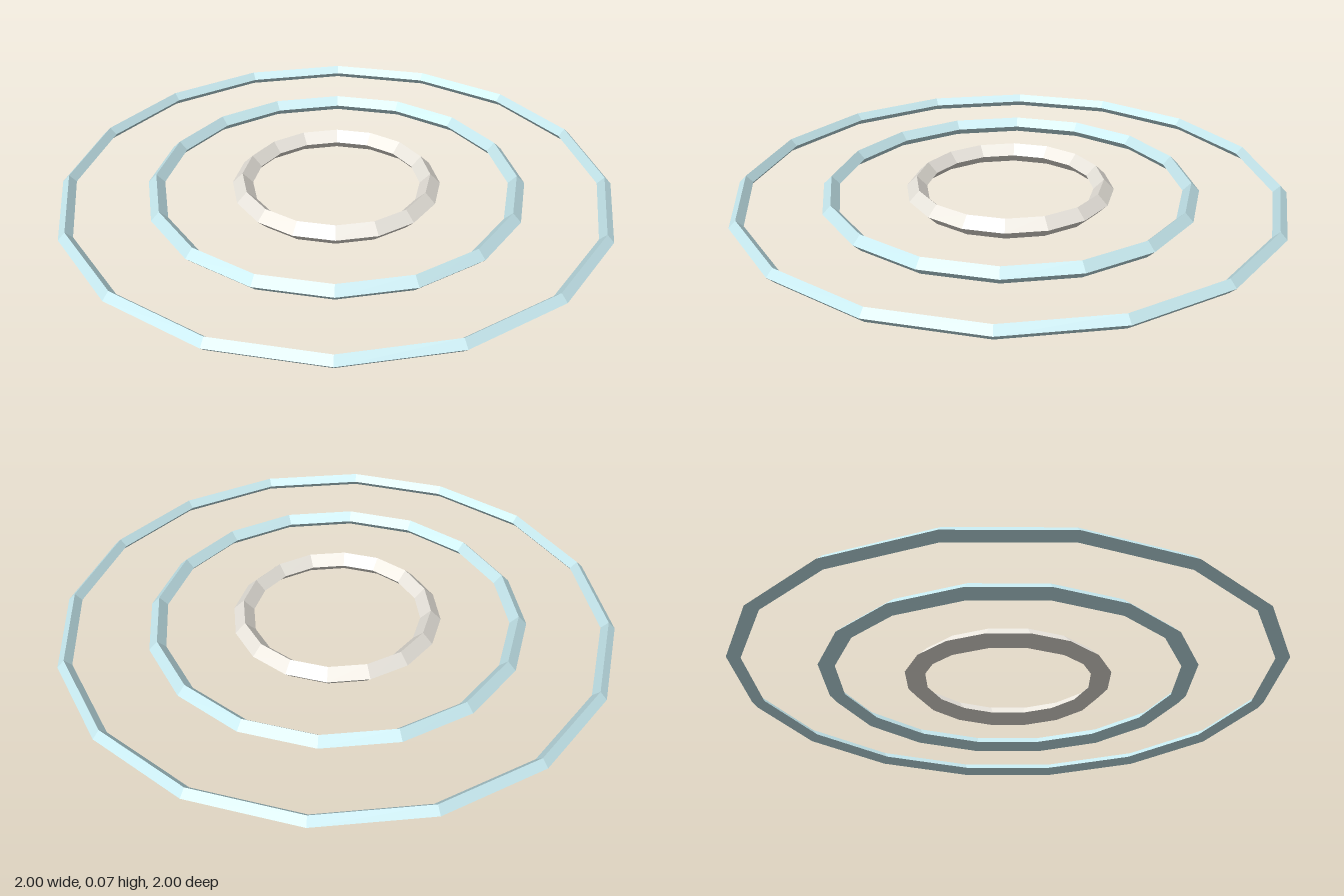
import * as THREE from 'three';

const CENTER_Y = 0.037;

// Faceted flat-lying ring with a diamond cross-section
function makeRing(name, radius, thickness, material) {
  const geometry = new THREE.TorusGeometry(radius, thickness, 4, 16);
  geometry.rotateX(-Math.PI / 2);
  const ring = new THREE.Mesh(geometry, material);
  ring.name = name;
  ring.position.y = CENTER_Y;
  return ring;
}

export function createModel() {
  const group = new THREE.Group();
  group.name = 'concentricRings';

  const blue = new THREE.MeshStandardMaterial({ color: 0xc4e6ec, flatShading: true });
  const ivory = new THREE.MeshStandardMaterial({ color: 0xe8e4dc, flatShading: true });

  // Three nested rings, thicker towards the centre
  group.add(
    makeRing('outerRing', 0.975, 0.025, blue),
    makeRing('middleRing', 0.656, 0.03, blue),
    makeRing('innerRing', 0.341, 0.037, ivory),
  );
  return group;
}
